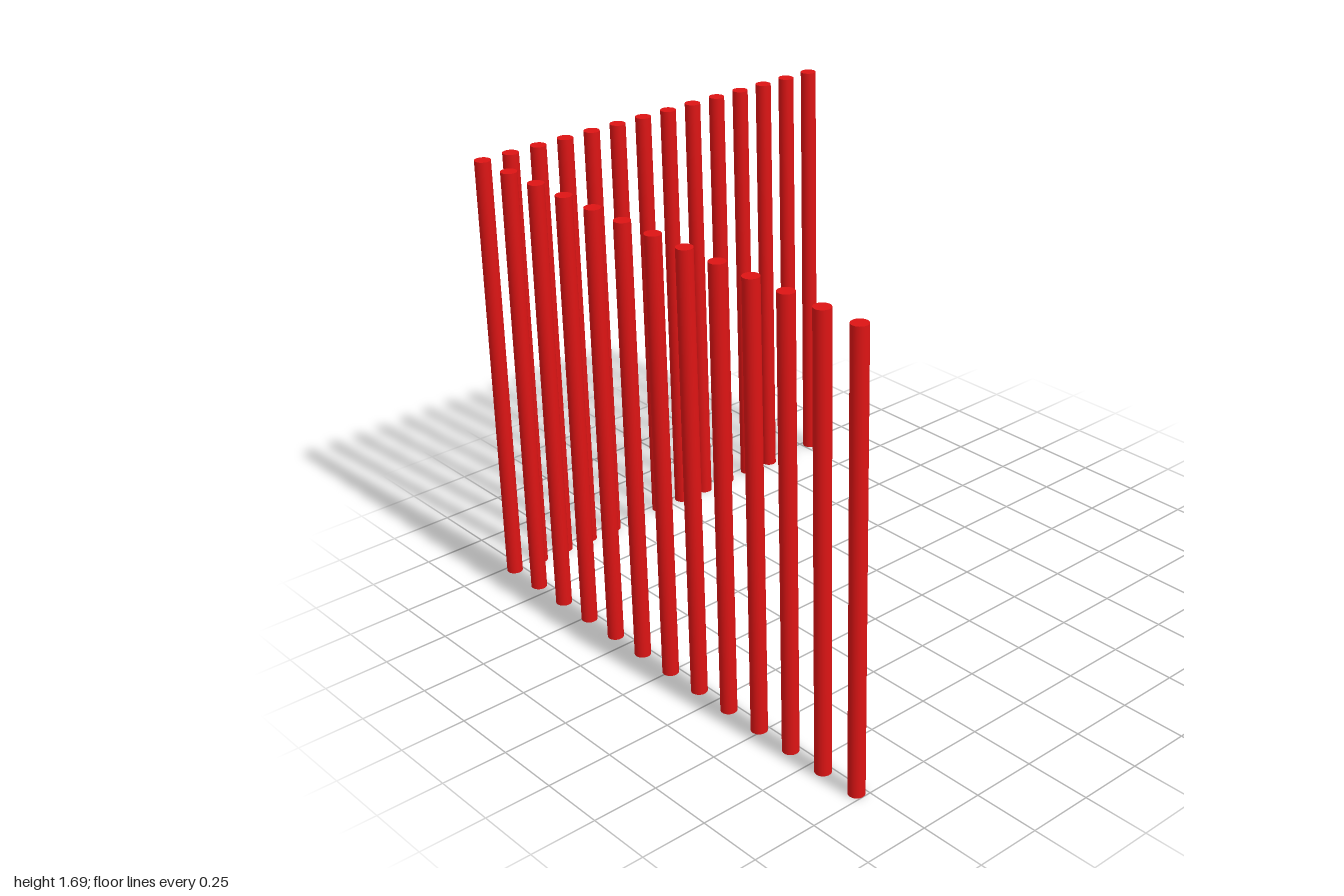
import * as THREE from 'three';

export function createModel() {
  const model = new THREE.Group();
  const radius = 0.03, height = 1.69;
  const cornerX = -0.783, cornerZ = -0.97;
  const backCount = 14, sideCount = 13;

  const material = new THREE.MeshStandardMaterial({ color: 0xdd1414 });
  const geometry = new THREE.CylinderGeometry(radius, radius, height, 32);
  geometry.translate(0, height / 2, 0);

  function addPost(parent, name, x, z) {
    const post = new THREE.Mesh(geometry, material);
    post.name = name;
    post.position.set(x, 0, z);
    parent.add(post);
  }

  // Back row, including the shared corner post
  const backRow = new THREE.Group();
  backRow.name = 'backRow';
  for (let i = 0; i < backCount; i++) {
    const x = THREE.MathUtils.lerp(cornerX, -cornerX, i / (backCount - 1));
    addPost(backRow, i === 0 ? 'cornerPost' : `backPost${i}`, x, cornerZ);
  }

  // Side row, running forward from the corner
  const sideRow = new THREE.Group();
  sideRow.name = 'sideRow';
  for (let i = 1; i < sideCount; i++) {
    const z = THREE.MathUtils.lerp(cornerZ, -cornerZ, i / (sideCount - 1));
    addPost(sideRow, `sidePost${i}`, cornerX, z);
  }

  model.add(backRow, sideRow);
  return model;
}
